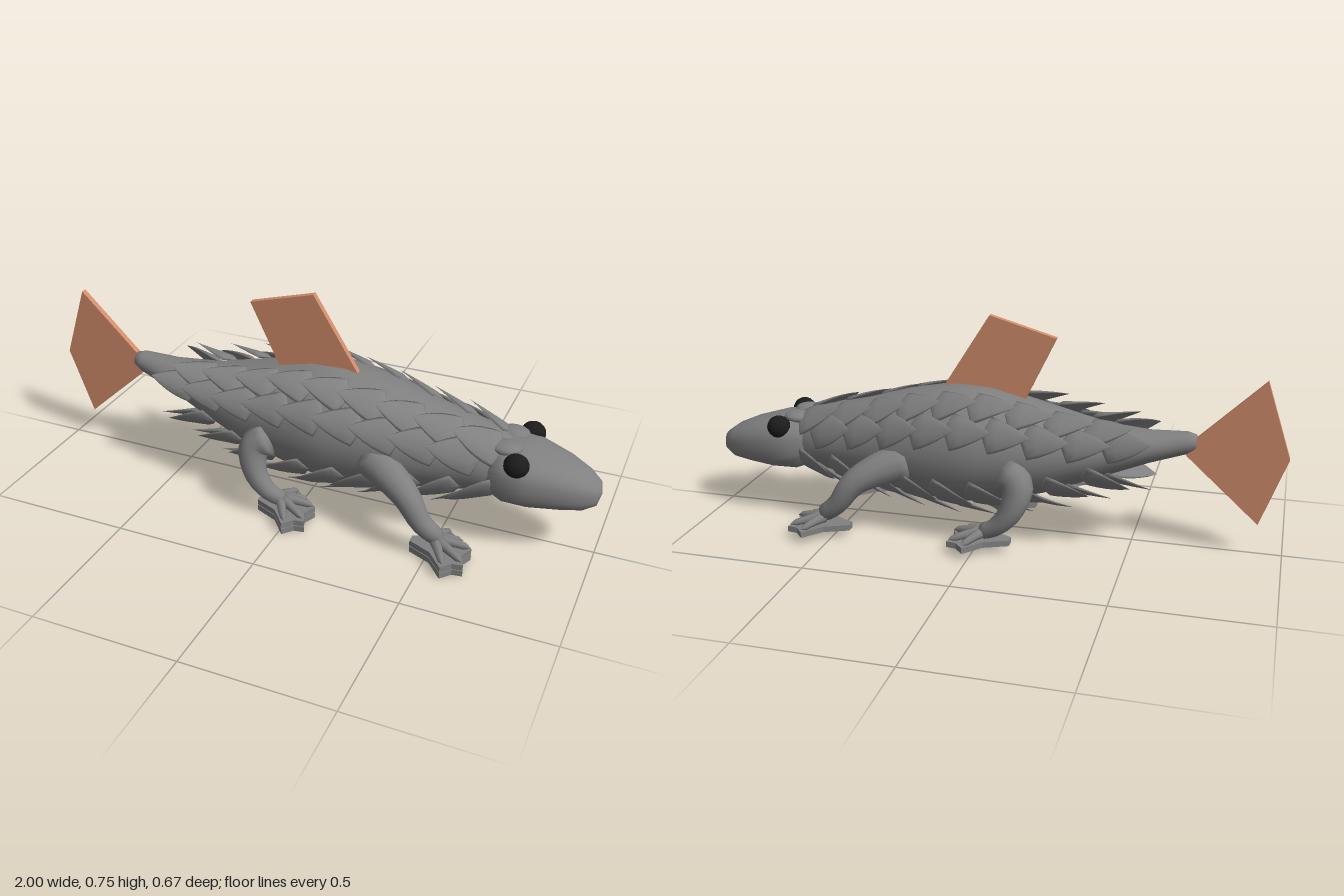
import * as THREE from 'three';

const hide = new THREE.MeshStandardMaterial({ color: 0x808080 });
hide.name = 'grey hide';
const finMat = new THREE.MeshStandardMaterial({ color: 0xd38d6b });
finMat.name = 'copper fin';
const eyeMat = new THREE.MeshStandardMaterial({ color: 0x1c1c1c });
eyeMat.name = 'black eye';

// Cross-sections: x, centre height, half height, half width
const BODY = [
  [-0.715, 0.37, 0, 0], [-0.7, 0.372, 0.026, 0.026], [-0.67, 0.368, 0.038, 0.04],
  [-0.55, 0.345, 0.054, 0.07], [-0.4, 0.32, 0.088, 0.115], [-0.2, 0.305, 0.15, 0.175],
  [0, 0.305, 0.2, 0.205], [0.12, 0.302, 0.208, 0.21], [0.3, 0.295, 0.18, 0.185],
  [0.45, 0.285, 0.145, 0.15], [0.6, 0.28, 0.115, 0.125], [0.7, 0.275, 0.09, 0.11], [0.74, 0.275, 0, 0],
];
const HEAD = [
  [0.62, 0.27, 0, 0], [0.63, 0.27, 0.08, 0.108], [0.7, 0.265, 0.102, 0.14], [0.78, 0.258, 0.096, 0.138],
  [0.88, 0.247, 0.078, 0.108], [0.95, 0.235, 0.06, 0.076], [0.99, 0.23, 0.036, 0.044], [1, 0.23, 0, 0],
];

// Surface closed around v, swept along u
function surface(fn, nu, nv) {
  const pos = [], idx = [];
  for (let i = 0; i <= nu; i++) {
    for (let j = 0; j < nv; j++) {
      pos.push(...fn(i / nu, (j / nv) * Math.PI * 2));
      if (i === nu) continue;
      const a = i * nv + j, b = i * nv + (j + 1) % nv;
      idx.push(a, b, a + nv, b, b + nv, a + nv);
    }
  }
  const g = new THREE.BufferGeometry();
  g.setAttribute('position', new THREE.Float32BufferAttribute(pos, 3));
  g.setIndex(idx);
  g.computeVertexNormals();
  return g;
}

function sectionAt(table, x) {
  let i = 0;
  while (i < table.length - 2 && x > table[i + 1][0]) i++;
  const a = table[i], b = table[i + 1];
  const t = THREE.MathUtils.clamp((x - a[0]) / (b[0] - a[0]), 0, 1);
  return a.map((v, k) => v + (b[k] - v) * t);
}

const power = (v, p) => Math.sign(v) * Math.abs(v) ** p;

function loft(table, sides, p) {
  const n = table.length - 1;
  return surface((u, t) => {
    const [x, cy, ry, rz] = table[Math.round(u * n)];
    return [x, cy + ry * power(Math.cos(t), p), rz * power(Math.sin(t), p)];
  }, n, sides);
}

function limb(points, radii, steps = 14, sides = 12) {
  const curve = new THREE.CatmullRomCurve3(points.map(p => new THREE.Vector3(...p)));
  const frames = curve.computeFrenetFrames(steps, false);
  return surface((u, t) => {
    const k = Math.round(u * steps);
    const f = u * (radii.length - 1), i = Math.min(Math.floor(f), radii.length - 2);
    const r = k === 0 || k === steps ? 0 : THREE.MathUtils.lerp(radii[i], radii[i + 1], f - i);
    return curve.getPointAt(u)
      .addScaledVector(frames.normals[k], r * Math.cos(t))
      .addScaledVector(frames.binormals[k], r * Math.sin(t)).toArray();
  }, steps, sides);
}

// Pointed scale hugging the body at x0, its tip flaring out to the rear, most on the slim ends
function scale(x0, angle, length, flare) {
  const [, , ry0, rz0] = sectionAt(BODY, x0);
  const half = Math.min(0.65, 0.14 / (ry0 + rz0));
  const lift = flare - 0.2 * ry0;
  return surface((u, s) => {
    const [, cy, ry, rz] = sectionAt(BODY, x0 - 0.5 * length * u);
    const taper = u === 0 ? 0 : 1 - u ** 1.4;
    const a = angle + half * taper * Math.cos(s);
    const off = lift * u + 0.012 * taper * Math.sin(s);
    return [x0 - length * u, cy + (ry + off) * Math.cos(a), (rz + off) * Math.sin(a)];
  }, 6, 10);
}

function plate(points, depth) {
  const shape = new THREE.Shape(points.map(p => new THREE.Vector2(...p)));
  return new THREE.ExtrudeGeometry(shape, { depth, bevelEnabled: false });
}

export function createModel() {
  const model = new THREE.Group();
  const add = (name, geometry, material, parent = model) => {
    const mesh = new THREE.Mesh(geometry, material);
    mesh.name = name;
    parent.add(mesh);
    return mesh;
  };

  add('body', loft(BODY, 32, 1), hide);
  add('head', loft(HEAD, 28, 0.8), hide);

  // Fins
  add('backFin', plate([[-0.11, 0.45], [0.165, 0.5], [0.005, 0.755], [-0.225, 0.69]], 0.021), finMat);
  add('tailFin', plate([[-0.67, 0.33], [-0.7, 0.39], [-0.915, 0.6], [-1, 0.345], [-0.915, 0.11]], 0.021), finMat)
    .position.z = -0.021;

  const legs = {
    front: {
      path: [[0.24, 0.27, 0.13], [0.32, 0.25, 0.17], [0.42, 0.2, 0.222], [0.48, 0.12, 0.235], [0.55, 0.065, 0.225]],
      radii: [0.065, 0.06, 0.047, 0.036, 0.028], foot: [0, 0],
    },
    rear: {
      path: [[-0.08, 0.28, 0.16], [-0.14, 0.24, 0.185], [-0.13, 0.16, 0.212], [-0.08, 0.095, 0.22], [-0.01, 0.06, 0.21]],
      radii: [0.06, 0.053, 0.042, 0.032, 0.025], foot: [-0.56, -0.02],
    },
  };
  const web = [[0.44, 0.235], [0.44, 0.205], [0.5, 0.175], [0.545, 0.125], [0.585, 0.165], [0.605, 0.18],
    [0.64, 0.2], [0.62, 0.245], [0.64, 0.295], [0.605, 0.3], [0.575, 0.335], [0.52, 0.27]];
  const toes = [[0.55, 0.135], [0.605, 0.175], [0.64, 0.205], [0.635, 0.29], [0.58, 0.325]];

  for (const s of [1, -1]) {
    const side = s > 0 ? 'left' : 'right';

    // Eyes and brows
    const eye = add(side + 'Eye', new THREE.SphereGeometry(0.042, 14, 10), eyeMat);
    eye.scale.set(1, 0.95, 0.9);
    eye.position.set(0.74, 0.335, s * 0.112);
    const brow = add(side + 'Brow', new THREE.SphereGeometry(0.045, 12, 8), hide);
    brow.scale.set(1.2, 0.45, 1);
    brow.position.set(0.69, 0.358, s * 0.05);

    // Rows of scales along the upper flank and the belly edge
    const scales = new THREE.Group();
    scales.name = side + 'Scales';
    model.add(scales);
    [36, 62, 127, 151].forEach((deg, row) => {
      for (let i = 0; i < 9; i++) {
        const x = 0.69 - i * 0.128 - (row % 2) * 0.064;
        const flare = row < 2 ? 0.073 : 0.08;
        add('scale', scale(x, s * THREE.MathUtils.degToRad(deg), 0.17, flare), hide, scales);
      }
    });

    // Legs with toes and webbed feet
    for (const [name, { path, radii, foot }] of Object.entries(legs)) {
      const leg = new THREE.Group();
      leg.name = side + name + 'Leg';
      model.add(leg);
      add('limb', limb(path.map(([x, y, z]) => [x, y, z * s]), radii), hide, leg);
      for (const [x, z] of toes) {
        const ax = 0.52 + foot[0], az = 0.225 + foot[1];
        const tx = x + foot[0], tz = z + foot[1];
        const pts = [[ax, 0.07, az * s], [(ax + tx) / 2, 0.063, (az + tz) / 2 * s], [tx, 0.05, tz * s]];
        add('toe', limb(pts, [0.022, 0.015, 0.01], 6, 8), hide, leg);
      }
      const sole = plate(web.map(([x, z]) => [x + foot[0], (z + foot[1]) * s]), 0.02);
      sole.rotateX(Math.PI / 2);
      add('webbedSole', sole, hide, leg).position.y = s > 0 ? 0.02 : 0.045;
      if (s > 0) add('webbedFoot', sole, hide, leg).position.y = 0.043;
    }
  }
  return model;
}
